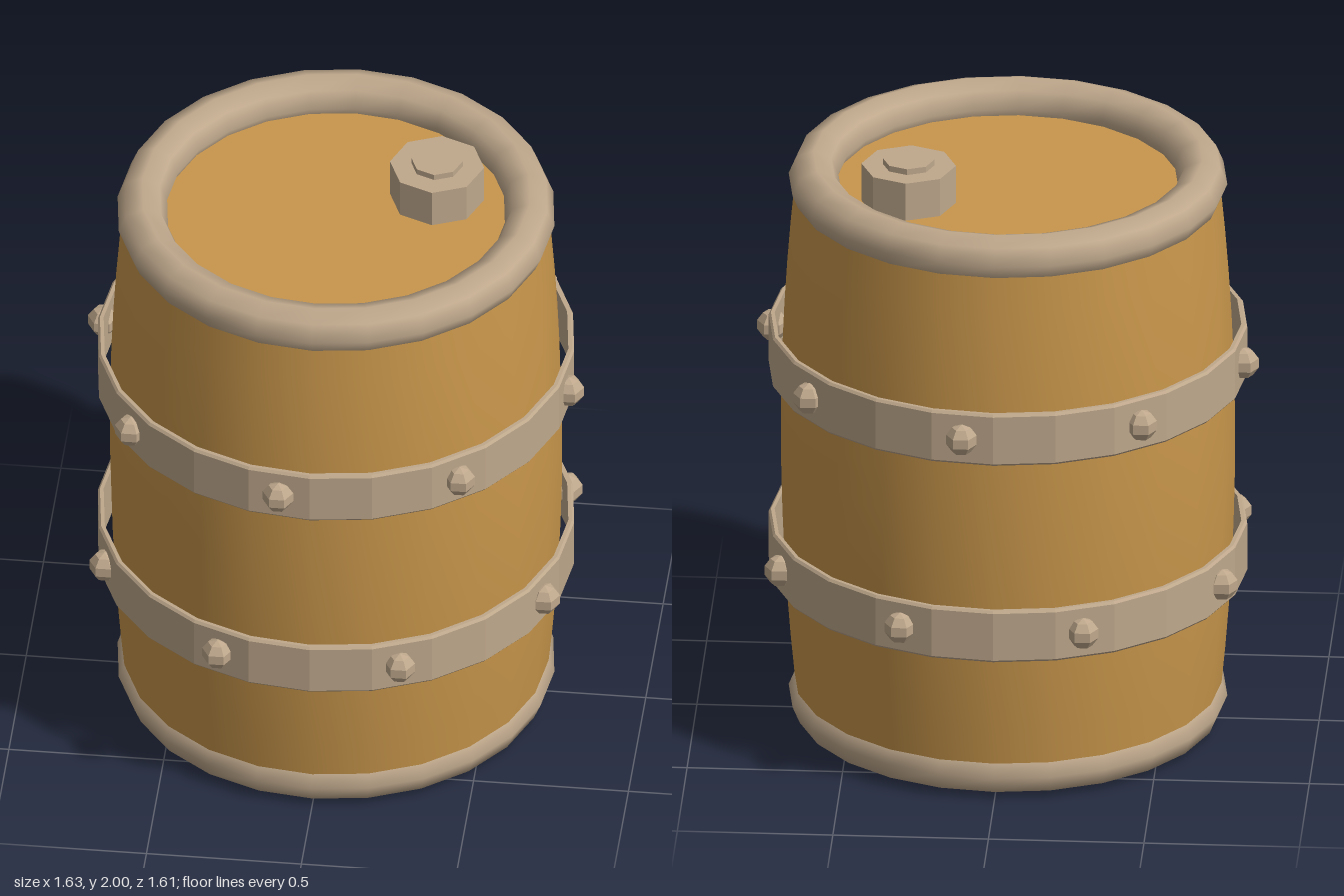
import * as THREE from 'three';

export function createModel() {
  const model = new THREE.Group();
  model.name = 'barrel';
  const SIDES = 24;

  const wood = new THREE.MeshStandardMaterial({ color: 0xc8964b });
  wood.name = 'wood';
  const metal = new THREE.MeshStandardMaterial({ color: 0xbfa88c });
  metal.name = 'metal';
  const facetedMetal = metal;

  function add(name, geometry, material, x = 0, y = 0, z = 0, parent = model) {
    const mesh = new THREE.Mesh(geometry, material);
    mesh.name = name;
    mesh.position.set(x, y, z);
    parent.add(mesh);
    return mesh;
  }
  // Separate faces so each facet has its own normal
  function faceted(geometry) {
    const g = geometry.toNonIndexed();
    g.computeVertexNormals();
    return g;
  }

  // Bulging body
  const profile = [];
  for (let i = 0; i <= 12; i++) {
    const t = (i / 12) * 2 - 1;
    profile.push(new THREE.Vector2(0.73 - 0.046 * t * t, 0.98 + t * 0.88));
  }
  add('body', new THREE.LatheGeometry(profile, SIDES), wood);

  // Recessed end discs
  add('lid', new THREE.CircleGeometry(0.62, SIDES).rotateX(-Math.PI / 2), wood, 0, 1.85, 0);
  add('base', new THREE.CircleGeometry(0.62, SIDES).rotateX(Math.PI / 2), wood, 0, 0.11, 0);

  // Rounded rims
  const rim = new THREE.TorusGeometry(0.625, 0.08, 8, SIDES).rotateX(Math.PI / 2);
  add('topRim', rim, metal, 0, 1.875, 0);
  add('bottomRim', rim, metal, 0, 0.08, 0);

  // Riveted hoops standing slightly off the body
  const hoopProfile = [
    [0.75, -0.09], [0.762, -0.09], [0.769, -0.082], [0.769, 0.082],
    [0.762, 0.09], [0.75, 0.09], [0.75, -0.09],
  ].map(([r, y]) => new THREE.Vector2(r, y));
  const hoopGeometry = faceted(new THREE.LatheGeometry(hoopProfile, SIDES));
  const rivetGeometry = faceted(new THREE.SphereGeometry(0.052, 6, 5));

  function addHoop(name, y, startDegrees) {
    const group = new THREE.Group();
    group.name = name;
    group.position.y = y;
    model.add(group);
    add('hoopBand', hoopGeometry, facetedMetal, 0, 0, 0, group);
    for (let i = 0; i < 8; i++) {
      const a = THREE.MathUtils.degToRad(startDegrees + i * 45);
      add('rivet', rivetGeometry, facetedMetal, Math.sin(a) * 0.77, 0, Math.cos(a) * 0.77, group);
    }
  }
  addHoop('upperHoop', 1.295, -7.6);
  addHoop('lowerHoop', 0.605, 21.8);

  // Octagonal bung on the lid
  const bung = new THREE.Group();
  bung.name = 'bung';
  bung.position.set(0.31, 0, -0.145);
  model.add(bung);
  add('bungCap', faceted(new THREE.CylinderGeometry(0.152, 0.152, 0.14, 8)), facetedMetal, 0, 1.91, 0, bung);
  add('bungKnob', faceted(new THREE.CylinderGeometry(0.083, 0.083, 0.06, 8)), facetedMetal, 0, 1.97, 0, bung);

  return model;
}
